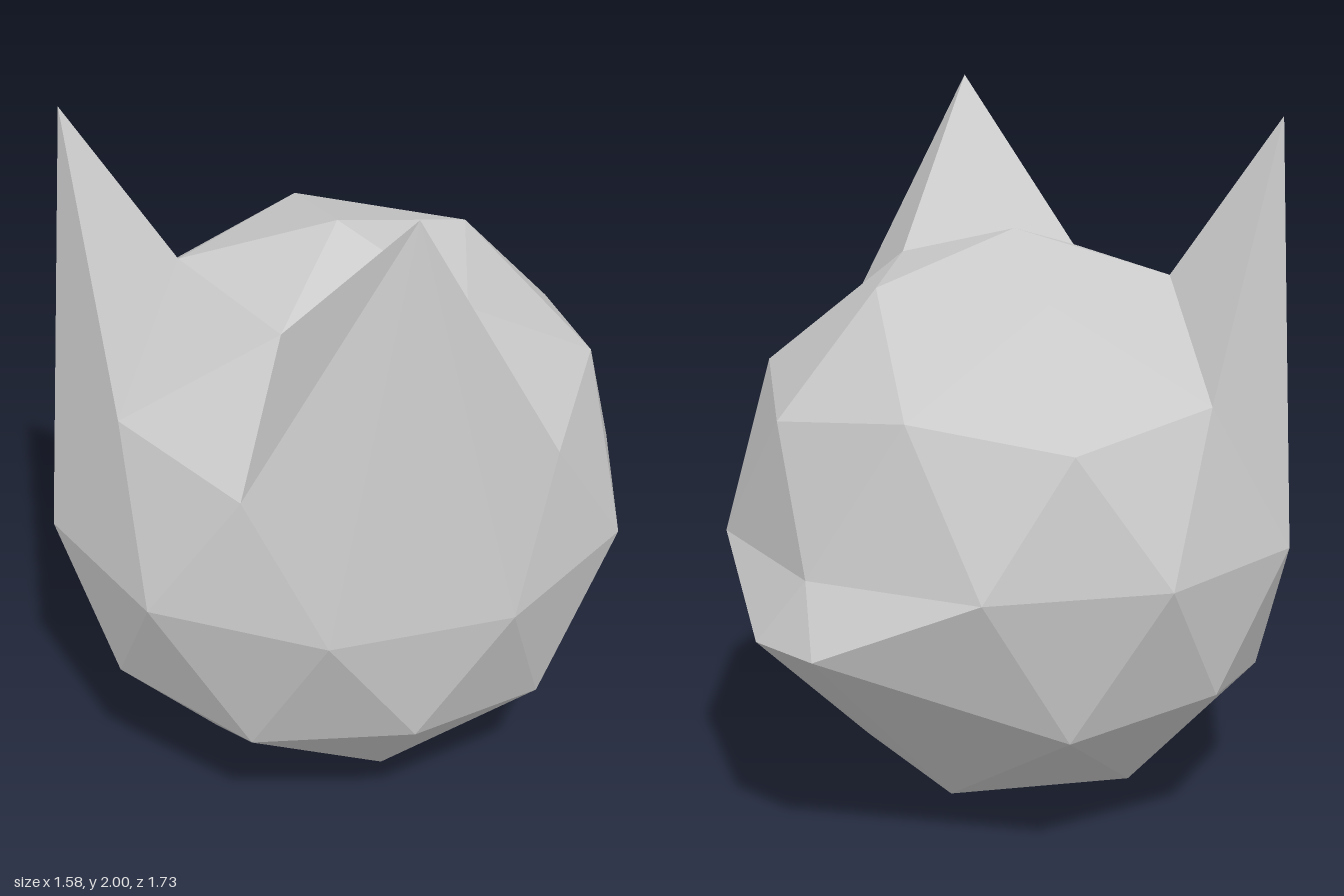
import * as THREE from 'three';

const RADIUS = 0.83;
const CENTER = new THREE.Vector3(0, RADIUS, 0.037);

// Sphere points pulled out into ears and tail: resting place -> tip
const PULLS = [
  { part: 'leftEar', from: [0.57, 1.27, 0.45], to: [0.57, 2.0, 0.45] },
  { part: 'rightEar', from: [-0.6, 1.2, 0.47], to: [-0.6, 1.985, 0.47] },
  { part: 'tail', from: [-0.23, 0.46, -0.67], to: [-0.095, 0.642, -0.867] },
  { part: 'tail', from: [0.22, 0.39, -0.63], to: [0.127, 0.645, -0.86] },
].map(({ part, from, to }) => ({
  part,
  from: new THREE.Vector3(...from),
  to: new THREE.Vector3(...to),
}));

// The 20 faces of an icosahedron standing on one corner
function icosahedronFaces() {
  const top = new THREE.Vector3(0, 1, 0);
  const bottom = new THREE.Vector3(0, -1, 0);
  const ring = (y, offset) => Array.from({ length: 5 }, (_, k) => {
    const a = ((k + offset) * 2 * Math.PI) / 5;
    return new THREE.Vector3(2 * Math.cos(a), y, 2 * Math.sin(a)).normalize();
  });
  const upper = ring(1, 0);
  const lower = ring(-1, 0.5);
  const faces = [];
  for (let k = 0; k < 5; k++) {
    const n = (k + 1) % 5;
    faces.push(
      [top, upper[n], upper[k]],
      [upper[k], upper[n], lower[k]],
      [lower[k], upper[n], lower[n]],
      [bottom, lower[k], lower[n]],
    );
  }
  return faces;
}

// Split each face in four, with the new corners on the sphere
function subdivide(faces) {
  const mid = (p, q) => p.clone().add(q).normalize();
  return faces.flatMap(([a, b, c]) => {
    const ab = mid(a, b), bc = mid(b, c), ca = mid(c, a);
    return [[a, ab, ca], [ab, b, bc], [ca, bc, c], [ab, bc, ca]];
  });
}

export function createModel() {
  const group = new THREE.Group();
  const material = new THREE.MeshStandardMaterial({ color: 0xcccccc, flatShading: true });
  const parts = { body: [], leftEar: [], rightEar: [], tail: [] };

  // Each face belongs to the pulled point it touches, otherwise to the body
  for (const face of subdivide(icosahedronFaces())) {
    let part = 'body';
    const corners = face.map((dir) => {
      const p = dir.clone().multiplyScalar(RADIUS).add(CENTER);
      const pull = PULLS.find(({ from }) => from.distanceTo(p) < 0.08);
      if (!pull) return p;
      part = pull.part;
      return pull.to;
    });
    for (const p of corners) parts[part].push(p);
  }

  for (const [name, points] of Object.entries(parts)) {
    const geometry = new THREE.BufferGeometry().setFromPoints(points);
    geometry.computeVertexNormals();
    const mesh = new THREE.Mesh(geometry, material);
    mesh.name = name;
    group.add(mesh);
  }
  return group;
}
